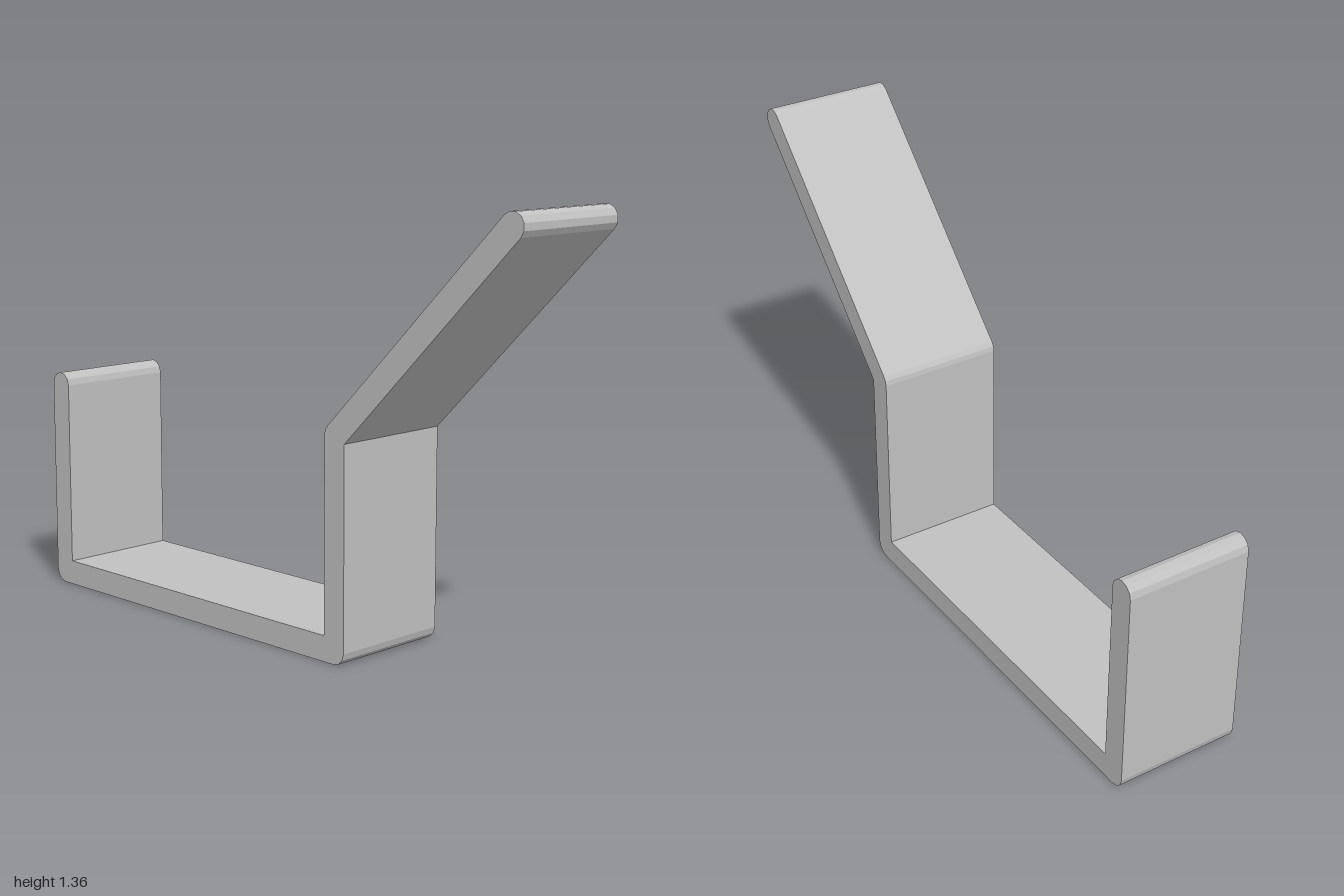
import * as THREE from 'three';

export function createModel() {
  const group = new THREE.Group();
  group.name = 'bentHook';
  const grey = new THREE.MeshStandardMaterial({ color: 0xc0c0c0 });
  grey.name = 'light grey';

  const r = 0.04; // half the strip thickness
  const width = 0.4;
  const pts = [];
  const point = (x, y) => pts.push(new THREE.Vector2(x, y));
  // faceted round, angles in degrees, counter-clockwise
  const round = (cx, cy, from, to, steps) => {
    for (let i = 0; i <= steps; i++) {
      const a = THREE.MathUtils.degToRad(from + ((to - from) * i) / steps);
      point(cx + r * Math.cos(a), cy + r * Math.sin(a));
    }
  };

  round(-0.96, 0.68, 0, 180, 6); // short arm tip
  round(-0.96, 0.04, 180, 270, 3); // outer floor corners
  round(0.32, 0.04, 270, 360, 3);
  point(0.36, 0.68 - r * Math.tan(Math.PI / 8)); // sharp inside of the bend
  round(0.96, 1.32, -45, 135, 6); // sloping arm tip
  round(0.32, 0.68, 135, 180, 2); // outside of the bend
  point(0.28, 0.08); // sharp inner floor corners
  point(-0.92, 0.08);

  const geometry = new THREE.ExtrudeGeometry(new THREE.Shape(pts), {
    depth: width, bevelEnabled: false, steps: 1,
  });
  geometry.translate(0, 0, -width / 2);
  const strip = new THREE.Mesh(geometry, grey);
  strip.name = 'bentStrip';
  group.add(strip);
  return group;
}
